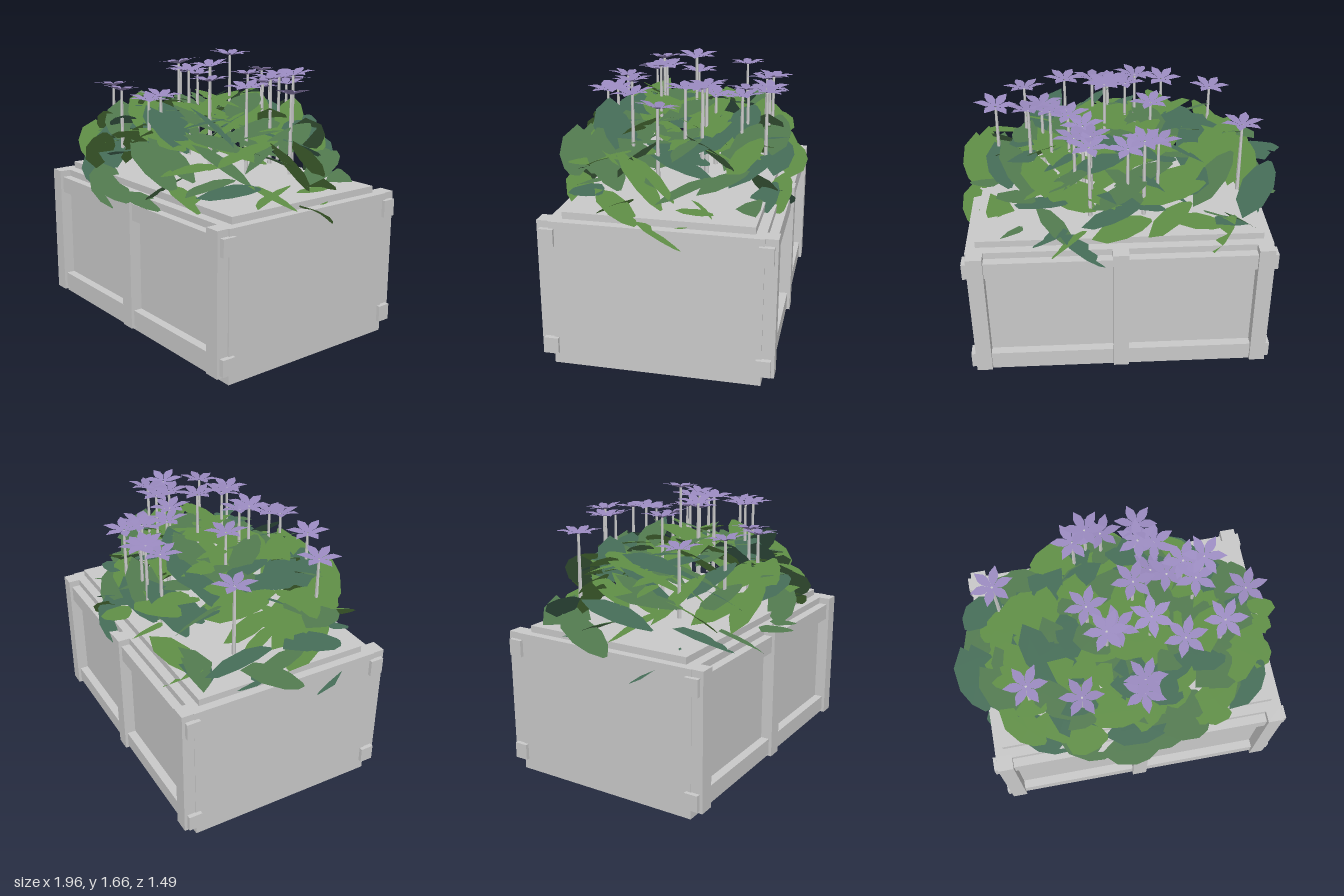
import * as THREE from 'three';
import { mergeGeometries } from 'three/addons/utils/BufferGeometryUtils.js';

const mat = (name, color, extra) => {
  const m = new THREE.MeshStandardMaterial({ color, ...extra });
  m.name = name;
  return m;
};

// Small seeded generator for natural variation
function seeded(seed) {
  return () => {
    seed = (seed * 1664525 + 1013904223) % 4294967296;
    return seed / 4294967296;
  };
}

// Open blade built from cross-sections [along, halfWidth], folded at the midrib
function blade(sections, fold, height) {
  const pos = [], index = [];
  sections.forEach(([u, w], i) => {
    const y = height(u);
    pos.push(u, y - fold * w, -w, u, y, 0, u, y - fold * w, w);
    if (i === 0) return;
    for (const k of [0, 1]) {
      const a = (i - 1) * 3 + k, b = i * 3 + k;
      index.push(a, a + 1, b + 1, a, b + 1, b);
    }
  });
  const g = new THREE.BufferGeometry();
  g.setAttribute('position', new THREE.Float32BufferAttribute(pos, 3));
  g.setIndex(index);
  return g;
}

// Soft foliage shading: every normal points up
function withUpNormals(geometry) {
  const normals = Array.from({ length: geometry.attributes.position.count }, () => [0, 1, 0]).flat();
  geometry.setAttribute('normal', new THREE.Float32BufferAttribute(normals, 3));
  return geometry;
}

export function createModel() {
  const model = new THREE.Group();
  model.name = 'planter';
  const open = { side: THREE.DoubleSide };
  const grey = mat('crateGrey', 0xc8c8c8, { flatShading: true });
  const purple = mat('petalPurple', 0x9b8bc1, open);
  const greens = [
    mat('leafGreen', 0x608f46, open),
    mat('leafMidGreen', 0x537b50, open),
    mat('leafTeal', 0x466e58, open),
  ];

  // Crate, described by its min and max corners
  const crate = new THREE.Group();
  crate.name = 'crate';
  model.add(crate);
  const box = (name, x0, x1, y0, y1, z0, z1) => {
    const m = new THREE.Mesh(new THREE.BoxGeometry(x1 - x0, y1 - y0, z1 - z0), grey);
    m.position.set((x0 + x1) / 2, (y0 + y1) / 2, (z0 + z1) / 2);
    m.name = name;
    crate.add(m);
  };
  box('crateBody', -0.85, 0.9, 0, 0.86, -0.605, 0.57);
  box('topPanel', -0.8, 0.845, 0.85, 0.9, -0.55, 0.51);
  const midZ = -0.0175;
  for (const side of [1, -1]) {
    const slab = (name, x0, x1, y0, y1, inner, outer) => {
      const a = midZ + side * inner, b = midZ + side * outer;
      box(name, x0, x1, y0, y1, Math.min(a, b), Math.max(a, b));
    };
    for (const x of [-0.8, 0.025, 0.845]) slab('post', x - 0.046, x + 0.046, 0.05, 0.86, 0.57, 0.658);
    slab('lowerRail', -0.872, 0.92, 0.066, 0.162, 0.558, 0.64);
    slab('upperRail', -0.872, 0.92, 0.72, 0.82, 0.558, 0.64);
  }

  // Foliage: a dome of broad leaves lying around the centre
  const rnd = seeded(11);
  const leaf = blade(
    [[-0.18, 0.012], [-0.12, 0.06], [-0.03, 0.088], [0.09, 0.075], [0.18, 0]],
    0.08, (u) => -0.6 * u * u);
  const up = new THREE.Vector3(0, 1, 0);
  const bins = greens.map(() => []);
  const count = 165;
  for (let i = 0; i < count; i++) {
    const r = Math.sqrt((i + 0.5) / count);
    const angle = i * 2.39996 + (rnd() - 0.5) * 0.35;
    const x = Math.cos(angle) * r * 0.915, z = Math.sin(angle) * r * 0.67;
    const out = new THREE.Vector3(Math.cos(angle) * 0.8, 0, Math.sin(angle)).normalize();
    const tangent = new THREE.Vector3(-out.z, 0, out.x);
    const tilt = (rnd() < 0.5 ? -1 : 1) * (0.15 + (0.35 + 0.4 * r) * rnd());
    const droop = (rnd() - 0.35) * 0.4;
    const along = tangent.multiplyScalar(Math.cos(tilt)).addScaledVector(up, Math.sin(tilt));
    const across = out.clone().multiplyScalar(Math.cos(droop)).addScaledVector(up, -Math.sin(droop));
    const normal = across.clone().cross(along).normalize();
    if (normal.y < 0) normal.negate();
    across.crossVectors(along, normal);
    const s = 0.85 + 0.3 * rnd();
    const hang = r > 0.85 && rnd() < 0.4 ? 0.18 : 0;
    const y = 1.32 - 0.27 * r * r - hang + (rnd() - 0.5) * 0.14;
    const m = new THREE.Matrix4().makeBasis(along, normal, across)
      .scale(new THREE.Vector3(s, s, s)).setPosition(x, y, z);
    const pick = rnd();
    bins[pick < 0.44 ? 0 : pick < 0.74 ? 1 : 2].push(leaf.clone().applyMatrix4(m));
  }
  bins.forEach((list, i) => {
    const m = new THREE.Mesh(withUpNormals(mergeGeometries(list)), greens[i]);
    m.name = 'leaves';
    model.add(m);
  });

  // Flowers: six pointed petals on a thin stem, at [x, height, z]
  const petal = blade([[0.006, 0.004], [0.05, 0.027], [0.08, 0.026], [0.128, 0]], 0,
    (u) => 0.3 * Math.min(u, 0.08) - 0.012);
  const bloom = withUpNormals(mergeGeometries(
    [0, 1, 2, 3, 4, 5].map((k) => petal.clone().rotateY((k * Math.PI) / 3))));
  const flowers = [
    [-0.68, 1.46, -0.27], [-0.58, 1.42, 0.33], [-0.29, 1.43, 0.45], [-0.18, 1.5, -0.04],
    [-0.19, 1.47, -0.46], [-0.11, 1.5, -0.51], [-0.02, 1.45, -0.5], [-0.1, 1.59, 0.16],
    [-0.04, 1.55, 0.13], [0.07, 1.43, 0.41], [0.05, 1.41, 0.48], [0.155, 1.59, 0.12],
    [0.32, 1.53, 0.25], [0.56, 1.51, 0.18], [0.72, 1.48, 0], [0.09, 1.64, -0.08],
    [0.22, 1.45, -0.22], [0.45, 1.53, -0.09], [0.4, 1.54, -0.2], [0.52, 1.55, -0.2],
    [0.18, 1.48, -0.4], [0.19, 1.47, -0.51], [0.27, 1.46, -0.38], [0.3, 1.49, -0.16],
  ];
  for (const [x, y, z] of flowers) {
    const flower = new THREE.Group();
    flower.name = 'flower';
    flower.position.set(x, y, z);
    const head = new THREE.Mesh(bloom, purple);
    head.name = 'petals';
    head.rotation.set((rnd() - 0.5) * 0.25, rnd() * Math.PI, (rnd() - 0.5) * 0.25);
    const h = y - 1.04;
    const stem = new THREE.Mesh(new THREE.CylinderGeometry(0.008, 0.013, h, 5), grey);
    stem.name = 'stem';
    stem.position.y = -h / 2 - 0.012;
    flower.add(head, stem);
    model.add(flower);
  }
  return model;
}
